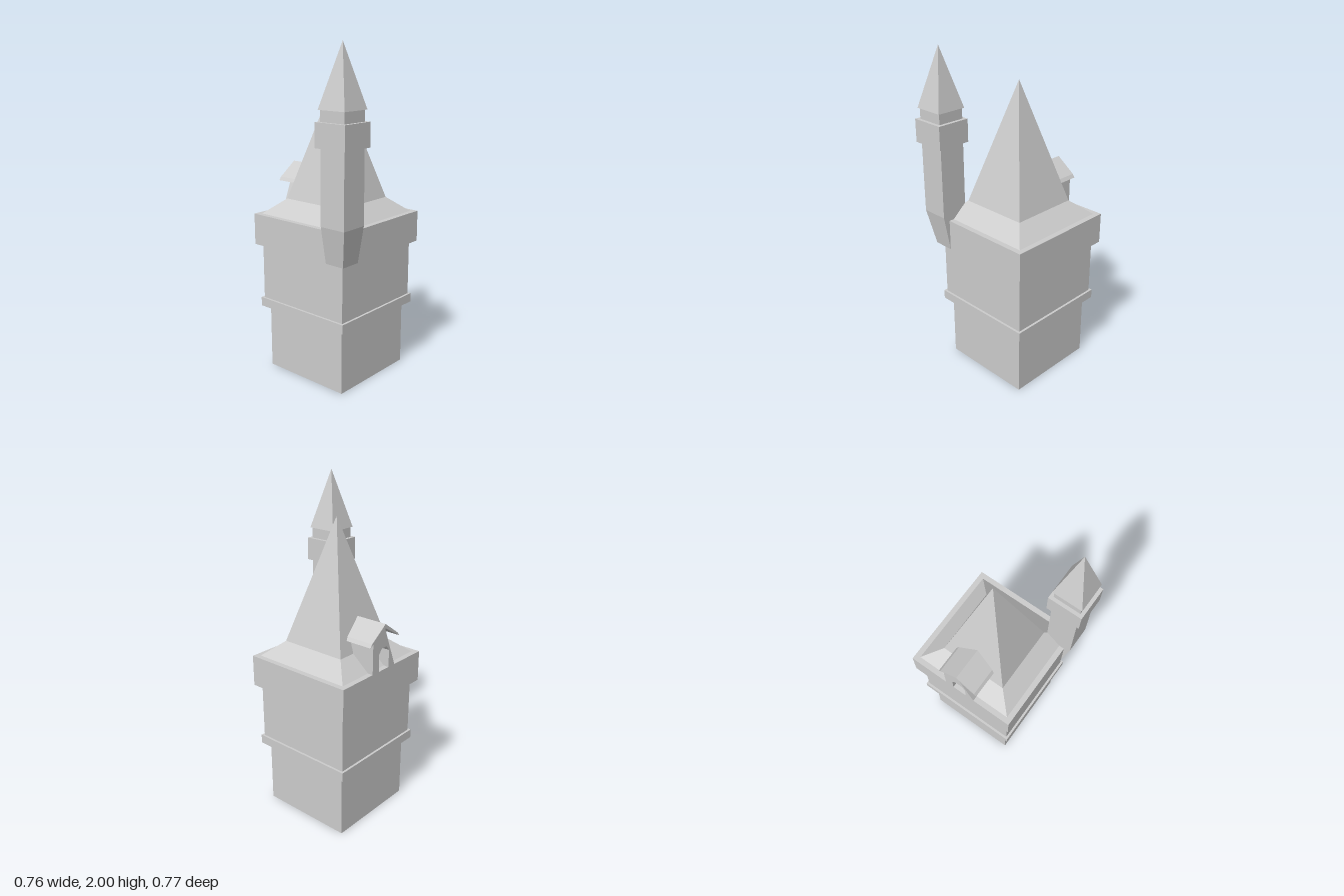
import * as THREE from 'three';

const material = new THREE.MeshStandardMaterial({ color: 0xcccccc, flatShading: true });

function add(parent, name, geometry) {
  const mesh = new THREE.Mesh(geometry, material);
  mesh.name = name;
  parent.add(mesh);
  return mesh;
}

// Square block or taper standing between two heights, given its half widths
function block(parent, name, y0, y1, bottom, top = bottom, openEnded = false) {
  const g = new THREE.CylinderGeometry(top * Math.SQRT2, bottom * Math.SQRT2, y1 - y0, 4, 1, openEnded);
  g.rotateY(Math.PI / 4).translate(0, (y0 + y1) / 2, 0);
  return add(parent, name, g);
}

function polygon(points) {
  return new THREE.Shape(points.map(([x, y]) => new THREE.Vector2(x, y)));
}

function extrude(shape, depth) {
  return new THREE.ExtrudeGeometry(shape, { depth, bevelEnabled: false });
}

export function createModel() {
  const model = new THREE.Group();
  model.name = 'castleTower';

  // Main tower
  const tower = new THREE.Group();
  tower.name = 'mainTower';
  tower.position.set(0.03, 0, -0.03);
  model.add(tower);
  block(tower, 'base', 0, 0.4, 0.29);
  block(tower, 'ledge', 0.4, 0.455, 0.33);
  block(tower, 'upperWalls', 0.455, 0.8, 0.316);
  block(tower, 'parapet', 0.8, 0.99, 0.35);
  block(tower, 'roofSkirt', 0.99, 1.08, 0.317, 0.21, true);
  block(tower, 'roofSpire', 1.08, 1.81, 0.21, 0, true);

  // Corner turret
  const turret = new THREE.Group();
  turret.name = 'cornerTurret';
  turret.position.set(-0.277, 0, 0.278);
  model.add(turret);
  const half = 0.083;
  block(turret, 'turretShaft', 1.02, 1.65, half);
  block(turret, 'turretCollar', 1.45, 1.587, 0.104);
  block(turret, 'turretSpire', 1.65, 2, 0.092, 0);

  // Corbel: its outer bottom edges lean in to meet the parapet corner
  const corbel = new THREE.BoxGeometry(2 * half, 0.22, 2 * half);
  const p = corbel.attributes.position;
  for (let i = 0; i < p.count; i++) {
    if (p.getY(i) > 0) continue;
    if (p.getX(i) < 0) p.setX(i, -0.043);
    if (p.getZ(i) > 0) p.setZ(i, 0.042);
  }
  add(turret, 'turretCorbel', corbel).position.y = 0.91;

  // Dormer on the back of the roof
  const dormer = new THREE.Group();
  dormer.name = 'dormer';
  dormer.position.set(0.03, 0, -0.38);
  model.add(dormer);

  // Gabled walls with an arched doorway cut through to the roof
  const walls = polygon([
    [-0.1, 0.99], [-0.045, 0.99], [-0.045, 1.095], [-0.022, 1.125], [0.022, 1.125],
    [0.045, 1.095], [0.045, 0.99], [0.1, 0.99], [0.1, 1.182], [0, 1.245],
  ]);
  add(dormer, 'dormerWalls', extrude(walls, 0.2));

  // Pitched roof slab running into the spire
  const slab = polygon([
    [0, 1.24], [0.131, 1.16], [0.117, 1.18], [0, 1.265], [-0.117, 1.18], [-0.131, 1.16],
  ]);
  add(dormer, 'dormerRoof', extrude(slab, 0.235)).position.z = -0.005;

  return model;
}
